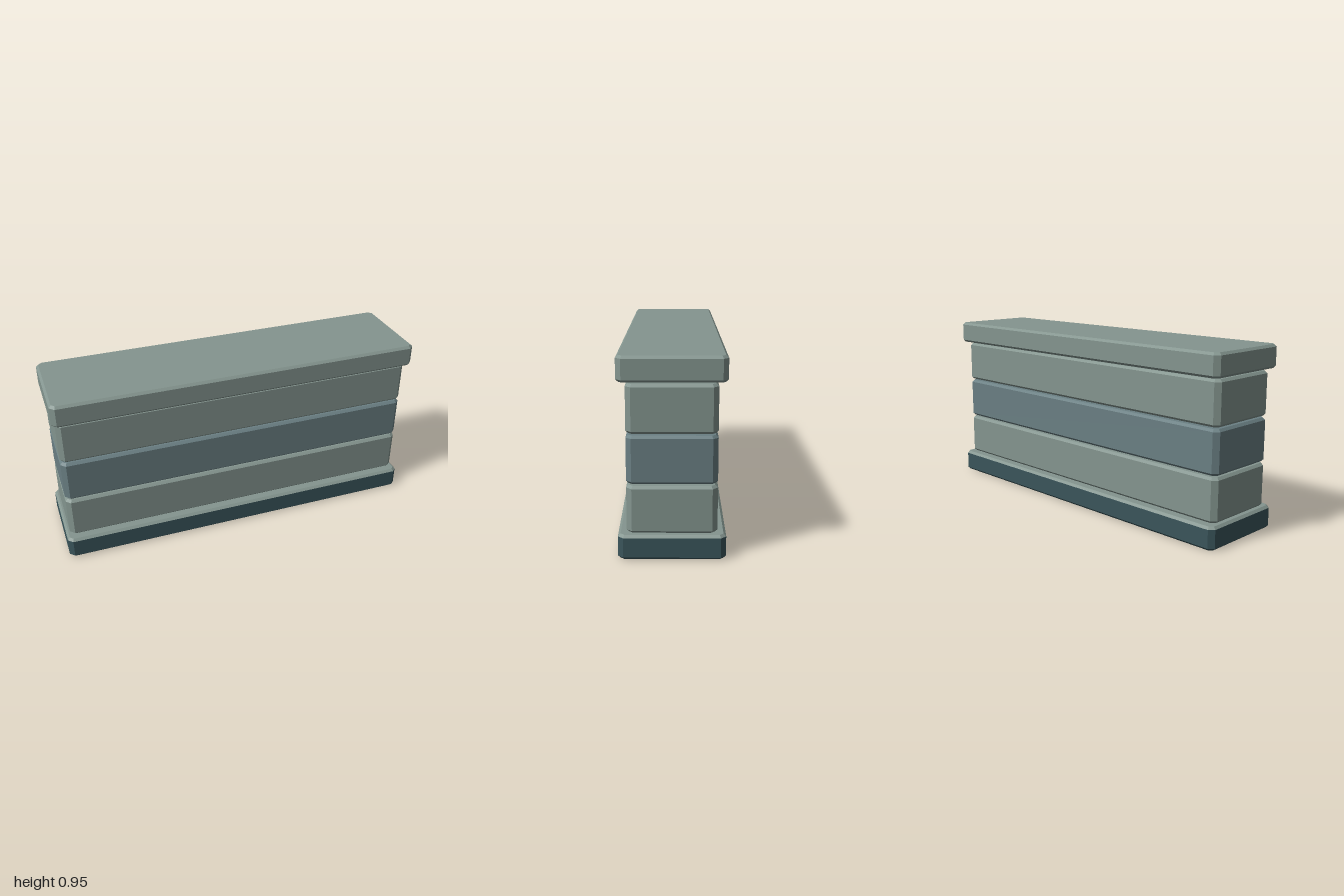
import * as THREE from 'three';

const BEVEL = 0.0125, CORNER = 0.025;
const STONE = 0x84958f, SLATE = 0x6a7f83, DARK = 0x3a555b;

// Rectangle with cut corners, pulled in evenly by an inset
function outline(halfX, halfZ, inset) {
  const x = halfX - inset, z = halfZ - inset;
  const c = CORNER - inset * (2 - Math.SQRT2);
  return [[x, z - c], [x - c, z], [c - x, z], [-x, z - c],
    [-x, c - z], [c - x, -z], [x - c, -z], [x, c - z]];
}

// Flat-shaded block through rings of [height, inset]
function block(name, color, halfX, halfZ, rings, capBottom = true, capTop = true) {
  const loops = rings.map(([y, inset]) =>
    outline(halfX, halfZ, inset).map(([x, z]) => [x, y, z]));
  const pos = [];
  const tri = (a, b, c) => pos.push(...a, ...b, ...c);
  for (let r = 0; r < loops.length - 1; r++) {
    const lo = loops[r], hi = loops[r + 1];
    for (let i = 0; i < 8; i++) {
      const j = (i + 1) % 8;
      tri(lo[i], hi[i], lo[j]);
      tri(hi[i], hi[j], lo[j]);
    }
  }
  const bottom = loops[0], top = loops[loops.length - 1];
  for (let i = 1; i < 7; i++) {
    if (capBottom) tri(bottom[0], bottom[i], bottom[i + 1]);
    if (capTop) tri(top[0], top[i + 1], top[i]);
  }
  const geometry = new THREE.BufferGeometry();
  geometry.setAttribute('position', new THREE.Float32BufferAttribute(pos, 3));
  geometry.computeVertexNormals();
  const mesh = new THREE.Mesh(geometry,
    new THREE.MeshStandardMaterial({ color, flatShading: true }));
  mesh.name = name;
  return mesh;
}

// Rings of a block bevelled at both ends
const bevelled = (y0, y1) =>
  [[y0, BEVEL], [y0 + BEVEL, 0], [y1 - BEVEL, 0], [y1, BEVEL]];

export function createModel() {
  const group = new THREE.Group();
  group.name = 'wall';

  // Dark plinth with a light bevelled top
  const shoulder = 0.12 - BEVEL;
  group.add(block('plinth', DARK, 1, 0.25,
    [[0, BEVEL], [BEVEL, 0], [shoulder, 0]], true, false));
  group.add(block('plinthTop', STONE, 1, 0.25,
    [[shoulder, 0], [0.12, BEVEL]], false, true));

  // Three stacked courses with open joints
  [['lowerCourse', STONE], ['middleCourse', SLATE], ['upperCourse', STONE]]
    .forEach(([name, color], i) => {
      const y = 0.122 + i * 0.236;
      group.add(block(name, color, 0.98, 0.21, bevelled(y, y + 0.228)));
    });

  // Coping slab
  group.add(block('coping', STONE, 1, 0.25, bevelled(0.832, 0.952)));
  return group;
}
